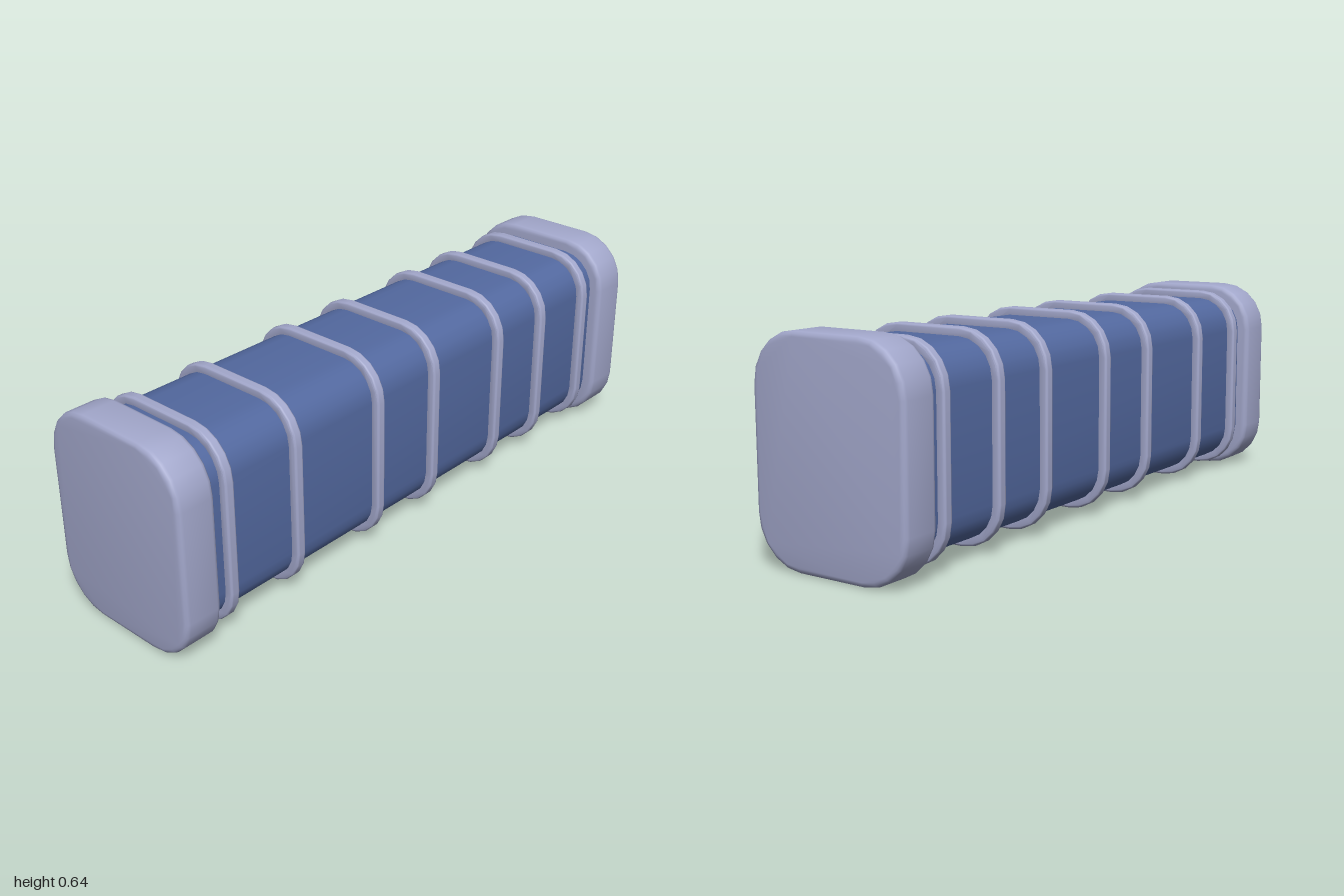
import * as THREE from 'three';
import { toCreasedNormals } from 'three/addons/utils/BufferGeometryUtils.js';

const MID_Y = 0.3225;
const SIDES = 5; // facets per rounded corner

// Points of a rounded rectangle, counter-clockwise, centred on the origin
function roundedRect(halfW, halfH, r) {
  const points = [];
  [[1, 1], [-1, 1], [-1, -1], [1, -1]].forEach(([sx, sy], corner) => {
    for (let i = 0; i <= SIDES; i++) {
      const a = (corner + i / SIDES) * Math.PI / 2;
      points.push(new THREE.Vector2(
        sx * (halfW - r) + r * Math.cos(a),
        sy * (halfH - r) + r * Math.sin(a)));
    }
  });
  return points;
}

// Extrude a section along x, centred, with rounded end edges
function extrudeAlongX(outer, length, bevel, hole) {
  const shape = new THREE.Shape(outer);
  if (hole) shape.holes.push(new THREE.Path(hole));
  const geometry = new THREE.ExtrudeGeometry(shape, {
    depth: length - 2 * bevel,
    bevelEnabled: bevel > 0,
    bevelSize: bevel,
    bevelThickness: bevel,
    bevelOffset: -bevel,
    bevelSegments: 3,
  });
  geometry.translate(0, 0, -length / 2 + bevel);
  geometry.rotateY(Math.PI / 2);
  return toCreasedNormals(geometry, 0.65);
}

export function createModel() {
  const model = new THREE.Group();
  model.name = 'bandedContainer';
  const shellMaterial = new THREE.MeshStandardMaterial({ color: 0x5369a0 });
  const trimMaterial = new THREE.MeshStandardMaterial({ color: 0xa3a8cc });

  function add(name, geometry, material, x) {
    const mesh = new THREE.Mesh(geometry, material);
    mesh.name = name;
    mesh.position.set(x, MID_Y, 0);
    model.add(mesh);
  }

  // Long body, its ends tucked into the caps
  add('body', extrudeAlongX(roundedRect(0.22, 0.282, 0.11), 1.8, 0), shellMaterial, 0);

  // End caps
  const cap = extrudeAlongX(roundedRect(0.26, 0.3225, 0.15), 0.125, 0.016);
  add('leftCap', cap, trimMaterial, 0.9375);
  add('rightCap', cap, trimMaterial, -0.9375);

  // Unevenly spaced bands around the body
  const band = extrudeAlongX(
    roundedRect(0.245, 0.307, 0.135), 0.032, 0.008,
    roundedRect(0.21, 0.272, 0.1));
  [-0.81, -0.555, -0.218, 0.033, 0.347, 0.573, 0.81].forEach((x, i) => {
    add(`band${i + 1}`, band, trimMaterial, x);
  });

  return model;
}
